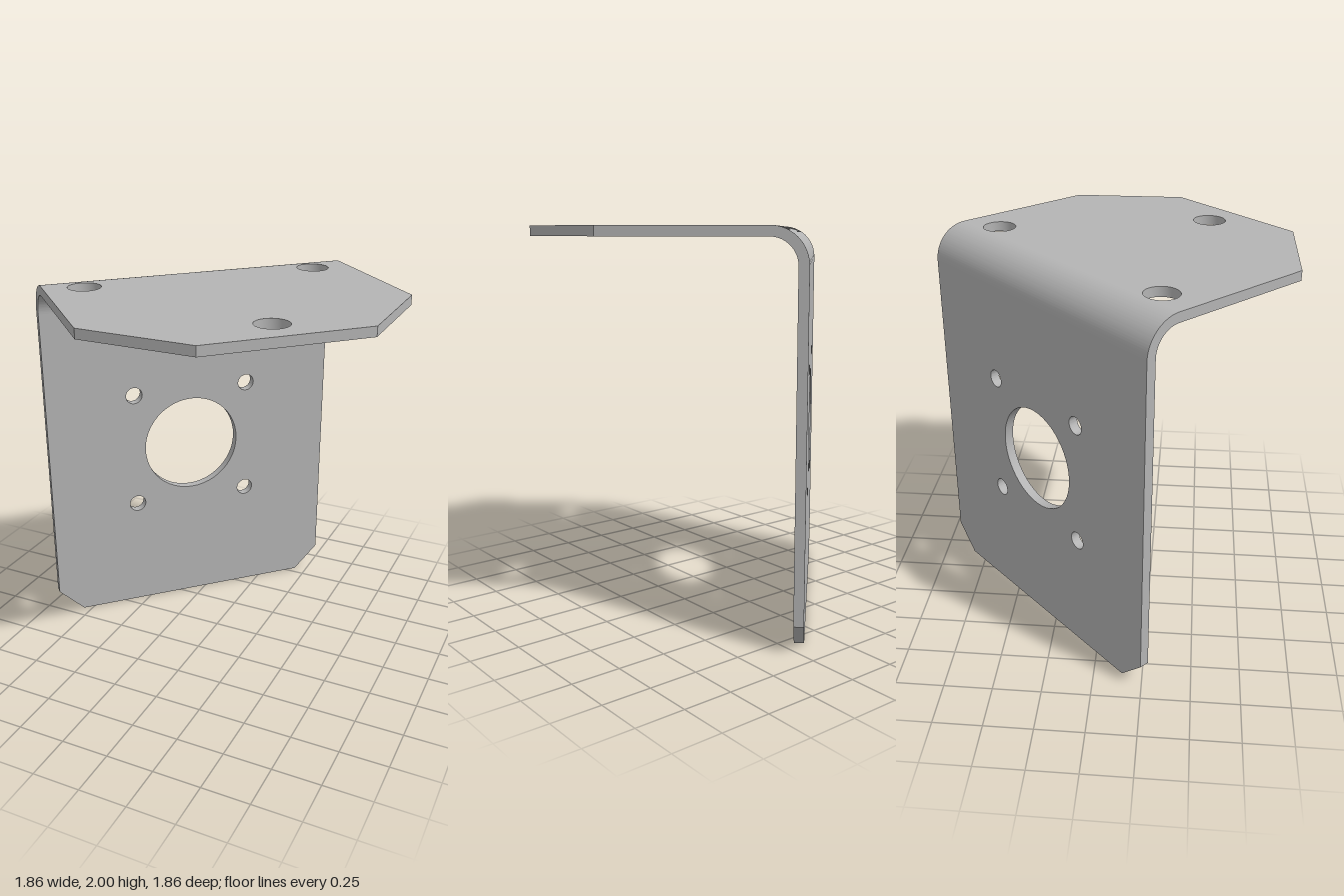
import * as THREE from 'three';
import { toCreasedNormals } from 'three/addons/utils/BufferGeometryUtils.js';

const W = 0.831;        // half width of the bracket
const T = 0.05;         // sheet thickness
const R = 0.18;         // outer bend radius
const BACK = -0.484;    // outer face of the upright plate
const FRONT = 0.898;    // tip of the flange
const TOP = 2;

// Flat outline with round holes given as [x, y, radius]
function plateShape(points, holes) {
  const shape = new THREE.Shape(points.map(([x, y]) => new THREE.Vector2(x, y)));
  for (const [x, y, r] of holes) {
    shape.holes.push(new THREE.Path().absarc(x, y, r, 0, Math.PI * 2, true));
  }
  return shape;
}

function extrude(shape, depth) {
  return new THREE.ExtrudeGeometry(shape, { depth, bevelEnabled: false, curveSegments: 24 });
}

export function createModel() {
  const steel = new THREE.MeshStandardMaterial({ color: 0xb4b4b4 });
  steel.name = 'grey steel';
  const bracket = new THREE.Group();
  bracket.name = 'angleBracket';

  const add = (name, geometry) => {
    const mesh = new THREE.Mesh(toCreasedNormals(geometry, 0.5), steel);
    mesh.name = name;
    bracket.add(mesh);
  };

  // Upright plate: clipped lower corners, large bore and four screw holes
  const c = 0.14, boreY = 0.975, s = 0.334;
  const screws = [[-s, -s], [s, -s], [s, s], [-s, s]].map(([x, y]) => [x, boreY + y, 0.047]);
  const upright = extrude(plateShape(
    [[-W + c, 0], [W - c, 0], [W, c], [W, TOP - R], [-W, TOP - R], [-W, c]],
    [[0, boreY, 0.277], ...screws]), T);
  upright.translate(0, 0, BACK);
  add('uprightPlate', upright);

  // Top flange: tapered front and three mounting holes
  const flange = extrude(plateShape(
    [[-W, BACK + R], [W, BACK + R], [W, 0.48], [0.417, FRONT], [-0.417, FRONT], [-W, 0.48]],
    [[-0.626, -0.216, 0.085], [0.626, -0.216, 0.085], [0, 0.707, 0.085]]), T);
  flange.rotateX(Math.PI / 2).translate(0, TOP, 0);
  add('topFlange', flange);

  // Quarter-round bend joining the two plates
  const profile = new THREE.Shape();
  profile.absarc(BACK + R, TOP - R, R, Math.PI / 2, Math.PI, false);
  profile.absarc(BACK + R, TOP - R, R - T, Math.PI, Math.PI / 2, true);
  const bend = extrude(profile, 2 * W);
  bend.rotateY(-Math.PI / 2).translate(W, 0, 0);
  add('bend', bend);

  // The bracket stands diagonally
  bracket.rotation.y = Math.PI / 4;
  const model = new THREE.Group();
  model.name = 'mountingBracket';
  model.add(bracket);
  return model;
}
